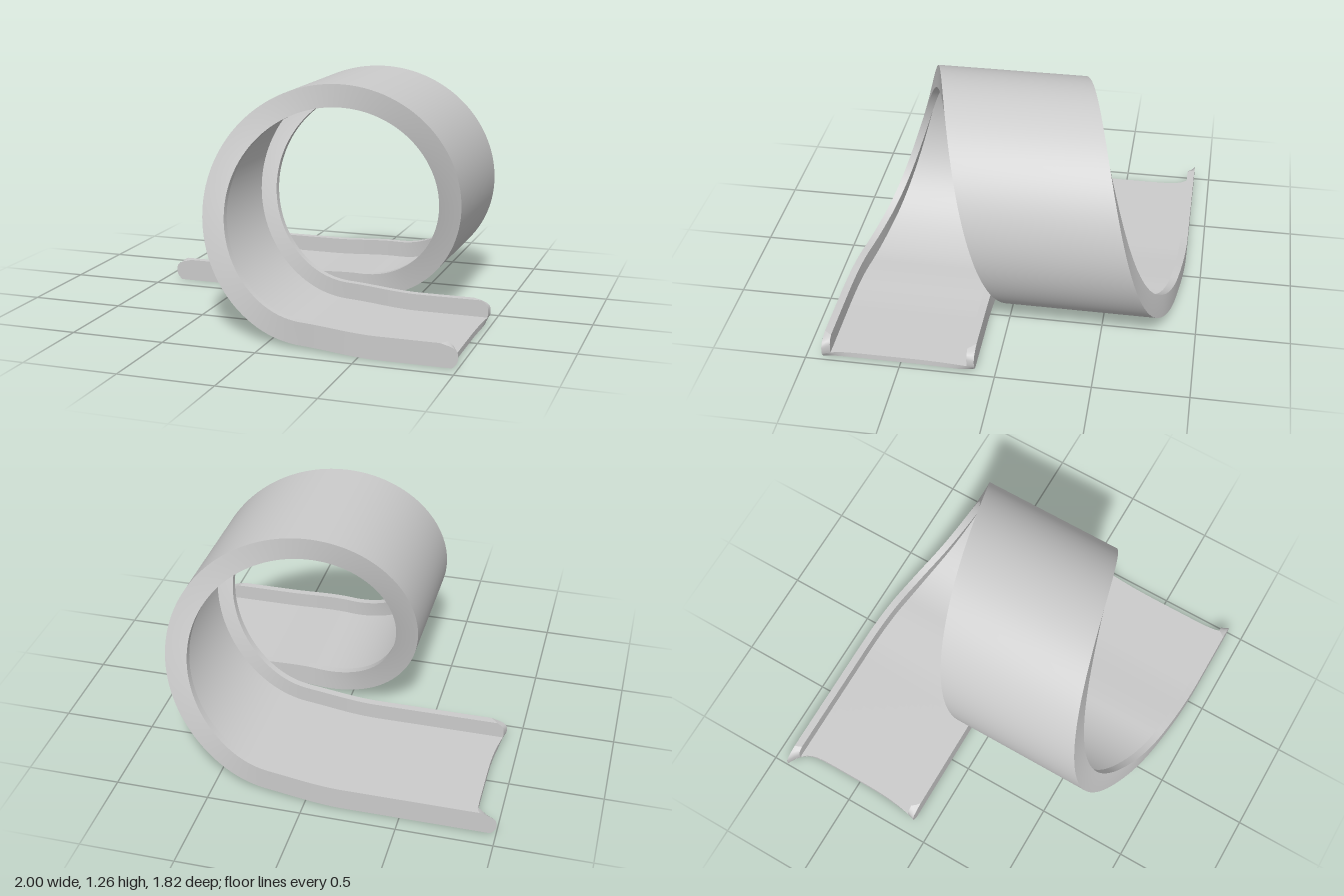
import * as THREE from 'three';
import { mergeGeometries } from 'three/addons/utils/BufferGeometryUtils.js';

// Loop: centre, outer radius. Channel: half width, rail height and width, floor thickness.
const CX = 0.2, CY = 0.64, R = 0.62;
const W = 0.4, H = 0.12, RAIL = 0.04, FLOOR = 0.03;
const INNER = W - RAIL;

// Length of a run measured from x = 0: concave at the floor, rounded at the rail tips
function reach(front, u, h) {
  const outer = front ? u > 0 : u < 0;
  const mid = front ? 0.96 : 0.88;
  const tip = front ? (outer ? 1 : 0.98) : (outer ? 1 : 0.925);
  const d = Math.abs(u) / W;
  const bend = h > 0.05 ? 0.09 * ((h - 0.05) / 0.07) ** 4 : 0.03 * ((0.05 - h) / 0.05) ** 2;
  return mid + (tip - mid) * d ** (outer ? 8 : 3) - bend * d ** 8;
}

// Point on the straight run, t = 0 at the loop and 1 at the free end
function runPoint(front, t, u, h) {
  const side = front ? 1 : -1;
  const x = CX + (side * reach(front, u, h) - CX) * t;
  const q = Math.min(1, Math.abs(x - CX) / 0.4);
  const y = 0.02 * (1 - q * q * (3 - 2 * q)) + h;
  const z = side * (0.48 + 0.03 * (1 - (1 - q) ** 2)) + u;
  return [x, y, z];
}

// Point on the helical loop, easing into the runs at both ends
function loopPoint(a, u, h) {
  const ease = (b) => 0.02 * Math.max(0, 1 - b / 0.5) ** 2;
  const z = 0.5 * (1 - a / Math.PI) - ease(a) + ease(2 * Math.PI - a);
  return [CX - (R - h) * Math.sin(a), CY - (R - h) * Math.cos(a), z + u];
}

// s = 0..1 along the whole track, u across it, h above its outer skin
function trackPoint(s, u, h) {
  if (s <= 1 / 6) return runPoint(true, 1 - 6 * s, u, h);
  if (s >= 5 / 6) return runPoint(false, 6 * s - 5, u, h);
  return loopPoint((s - 1 / 6) * 1.5 * 2 * Math.PI, u, h);
}

// Grid surface over a and b; it faces along a x b
function grid(fn, na, nb) {
  const pos = [], index = [];
  for (let j = 0; j <= nb; j++) {
    for (let i = 0; i <= na; i++) pos.push(...fn(i / na, j / nb));
  }
  for (let j = 0; j < nb; j++) {
    for (let i = 0; i < na; i++) {
      const p = j * (na + 1) + i, q = p + na + 1;
      index.push(p, p + 1, q, p + 1, q + 1, q);
    }
  }
  const geo = new THREE.BufferGeometry();
  geo.setAttribute('position', new THREE.Float32BufferAttribute(pos, 3));
  geo.setIndex(index);
  geo.computeVertexNormals();
  return geo;
}

const mix = THREE.MathUtils.lerp;

// One face of the channel, swept along the track from one profile corner to the next
const sweep = ([u0, h0], [u1, h1], n) =>
  grid((a, s) => trackPoint(s, mix(u0, u1, a), mix(h0, h1, a)), n, 180);

// Both end faces of a rectangular piece of the profile
const caps = (u0, u1, h0, h1, nu, nh) => [
  grid((a, b) => trackPoint(0, mix(u0, u1, b), mix(h0, h1, a)), nh, nu),
  grid((a, b) => trackPoint(1, mix(u0, u1, a), mix(h0, h1, b)), nu, nh),
];

export function createModel() {
  const group = new THREE.Group();
  const material = new THREE.MeshStandardMaterial({ color: 0xcccccc, side: THREE.DoubleSide });
  const add = (name, parts) => {
    const mesh = new THREE.Mesh(mergeGeometries(parts), material);
    mesh.name = name;
    group.add(mesh);
  };

  // Floor of the channel: outer skin, running surface and ends
  add('trackFloor', [
    sweep([-W, 0], [W, 0], 24),
    sweep([INNER, FLOOR], [-INNER, FLOOR], 24),
    ...caps(-W, W, 0, FLOOR, 40, 3),
  ]);

  // Raised rails along both edges
  add('frontRail', [
    sweep([W, 0], [W, H], 10),
    sweep([W, H], [INNER, H], 2),
    sweep([INNER, H], [INNER, FLOOR], 8),
    ...caps(INNER, W, FLOOR, H, 2, 8),
  ]);
  add('backRail', [
    sweep([-INNER, FLOOR], [-INNER, H], 8),
    sweep([-INNER, H], [-W, H], 2),
    sweep([-W, H], [-W, 0], 10),
    ...caps(-W, -INNER, FLOOR, H, 2, 8),
  ]);

  return group;
}
